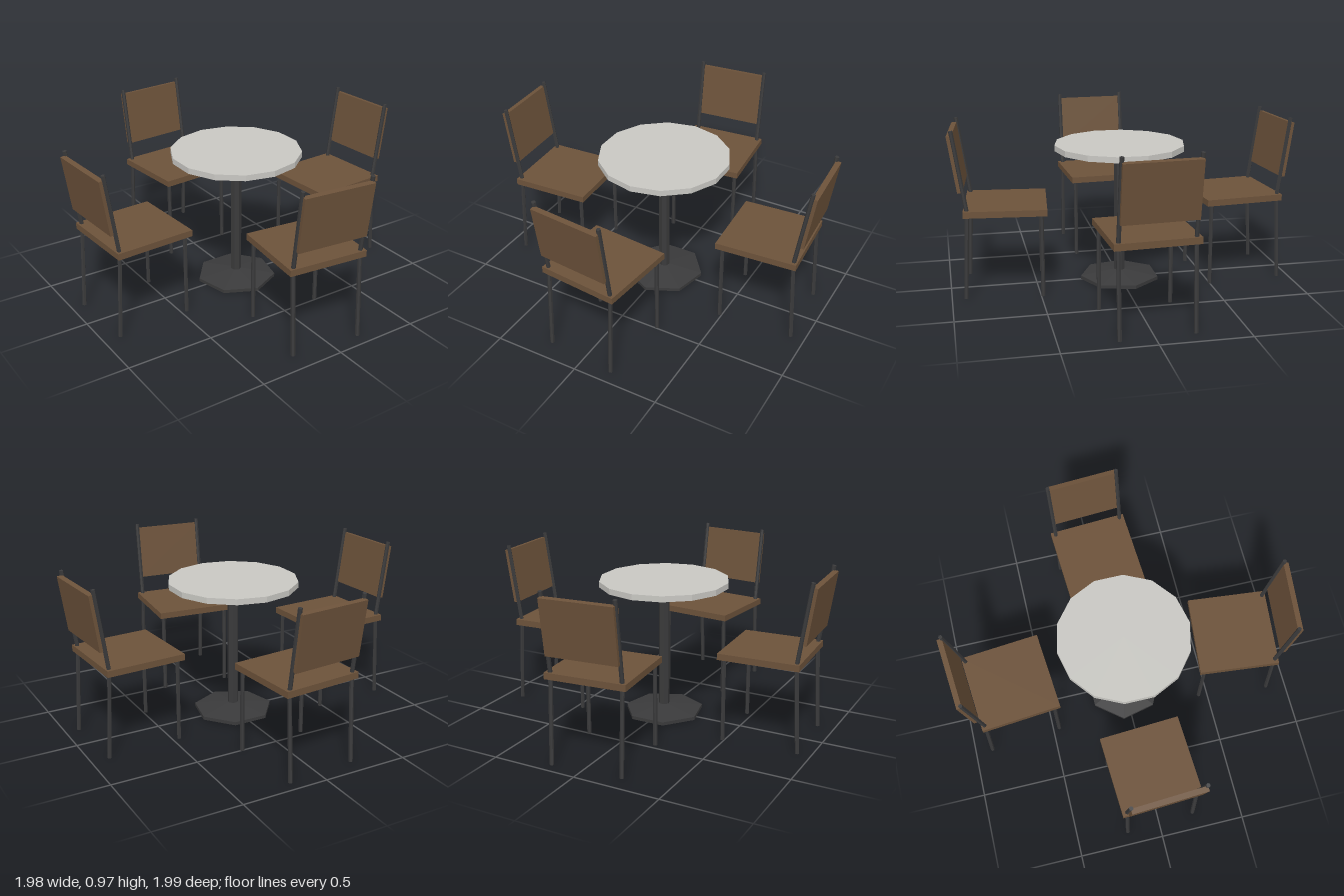
import * as THREE from 'three';

const mat = (name, color) => {
  const m = new THREE.MeshStandardMaterial({ color, flatShading: true });
  m.name = name;
  return m;
};

export function createModel() {
  const wood = mat('brown wood', 0x6c523a);
  const metal = mat('dark metal', 0x3a3a3b);
  const stone = mat('pale grey top', 0xc8c7c2);

  const add = (parent, name, geometry, material, x = 0, y = 0, z = 0) => {
    const mesh = new THREE.Mesh(geometry, material);
    mesh.name = name;
    mesh.position.set(x, y, z);
    parent.add(mesh);
    return mesh;
  };

  // Thin round bar between two points
  const rod = (parent, name, a, b) => {
    const from = new THREE.Vector3(...a), to = new THREE.Vector3(...b);
    const dir = to.clone().sub(from);
    const mesh = add(parent, name, new THREE.CylinderGeometry(0.012, 0.012, dir.length(), 6), metal);
    mesh.position.copy(from).add(to).multiplyScalar(0.5);
    mesh.quaternion.setFromUnitVectors(new THREE.Vector3(0, 1, 0), dir.normalize());
  };

  // Chair facing +z, centred on its seat
  const makeChair = () => {
    const chair = new THREE.Group();
    add(chair, 'seat', new THREE.BoxGeometry(0.465, 0.037, 0.465), wood, 0, 0.498, 0);
    for (const x of [-0.205, 0.205]) {
      rod(chair, 'frontLeg', [x, 0, 0.2], [x, 0.485, 0.2]);
      rod(chair, 'backLeg', [x, 0, -0.235], [x, 0.5, -0.21]);
      rod(chair, 'backPost', [x, 0.5, -0.21], [x, 0.965, -0.278]);
    }
    // Backrest leans with the posts, just behind them
    const backrest = add(chair, 'backrest', new THREE.BoxGeometry(0.414, 0.322, 0.03), wood, 0, 0.778, -0.266);
    backrest.rotation.x = -Math.atan2(0.068, 0.465);
    return chair;
  };

  const model = new THREE.Group();
  model.name = 'diningSet';

  // Pedestal table
  const table = new THREE.Group();
  table.name = 'table';
  model.add(table);
  add(table, 'tabletop', new THREE.CylinderGeometry(0.38, 0.38, 0.034, 14), stone, 0, 0.807, 0);
  add(table, 'pedestalPole', new THREE.CylinderGeometry(0.032, 0.032, 0.76, 7), metal, 0, 0.41, 0);
  add(table, 'baseRim', new THREE.CylinderGeometry(0.235, 0.235, 0.02, 7), metal, 0, 0.01, 0);
  add(table, 'baseSlope', new THREE.CylinderGeometry(0.032, 0.235, 0.03, 7, 1, true), metal, 0, 0.035, 0);

  // Four chairs, each slightly askew: name, x, z, turn
  const places = [
    ['chairBack', -0.002, -0.68, 0.09],
    ['chairFront', 0, 0.667, Math.PI - 0.1],
    ['chairRight', -0.676, -0.005, Math.PI / 2 + 0.055],
    ['chairLeft', 0.672, -0.003, -Math.PI / 2 + 0.06],
  ];
  for (const [name, x, z, turn] of places) {
    const chair = makeChair();
    chair.name = name;
    chair.position.set(x, 0, z);
    chair.rotation.y = turn;
    model.add(chair);
  }
  return model;
}
